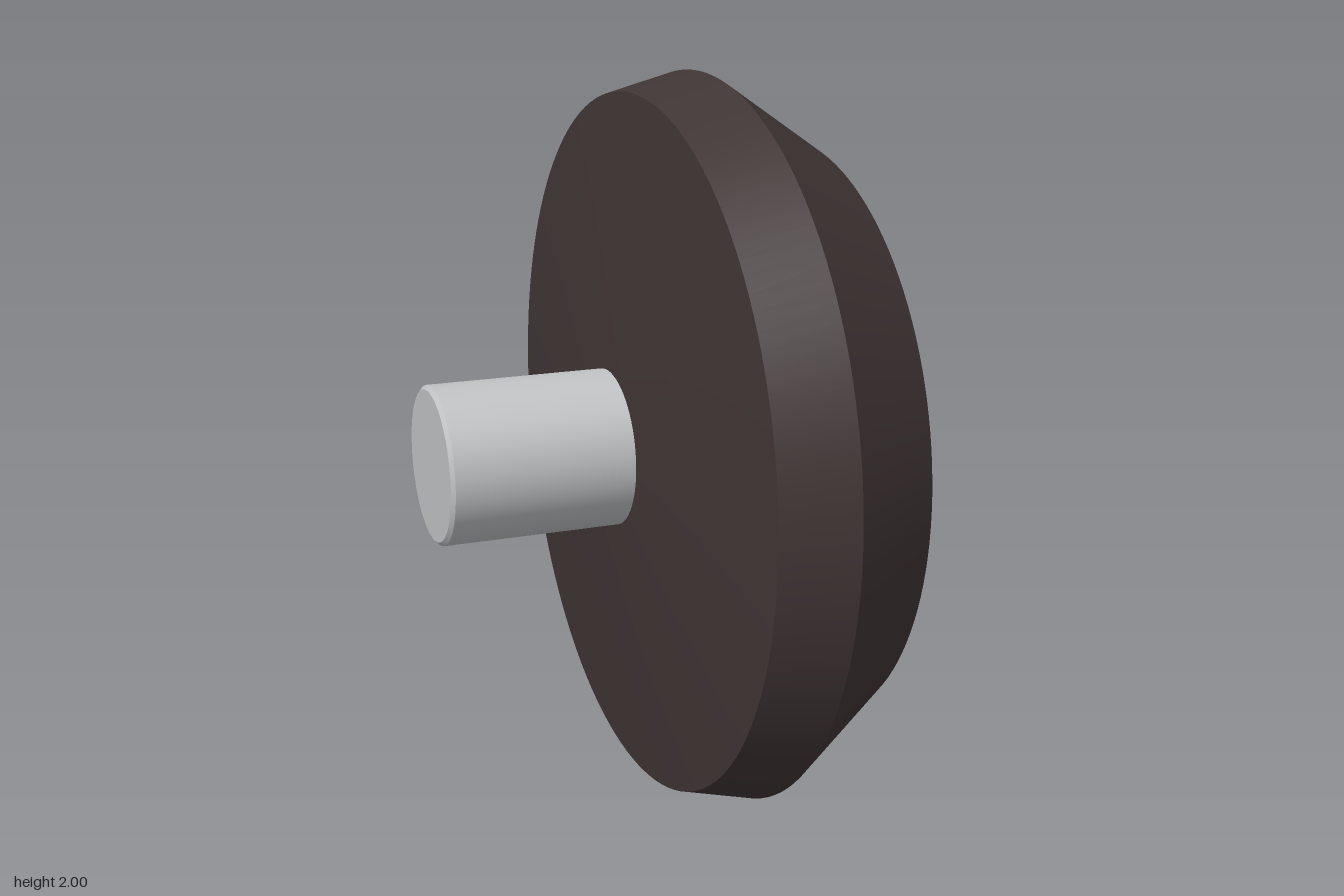
import * as THREE from 'three';
import { toCreasedNormals } from 'three/addons/utils/BufferGeometryUtils.js';

// Revolves a profile of [x, radius] points around the x axis, keeping sharp bends sharp
function turned(name, profile, segments, material) {
  const points = profile.map(([x, r]) => new THREE.Vector2(r, x));
  const lathe = new THREE.LatheGeometry(points, segments);
  lathe.rotateZ(-Math.PI / 2);
  const mesh = new THREE.Mesh(toCreasedNormals(lathe, THREE.MathUtils.degToRad(27)), material);
  mesh.name = name;
  mesh.position.y = 1;
  return mesh;
}

export function createModel() {
  const darkBrown = new THREE.MeshStandardMaterial({ color: 0x403535 });
  darkBrown.name = 'dark brown';
  const lightSteel = new THREE.MeshStandardMaterial({ color: 0xc0c2c4 });
  lightSteel.name = 'light steel';

  const model = new THREE.Group();
  model.name = 'knob';

  // Faceted round head: shallow back cone, rim, bevel and domed face
  model.add(turned('head', [
    [-0.12, 0], [-0.12, 0.2], [-0.05, 0.95], [0.14, 1],
    [0.427, 0.807], [0.595, 0.43], [0.615, 0],
  ], 128, darkBrown));

  // Short shaft with a small chamfer at its free end
  model.add(turned('shaft', [
    [-0.617, 0], [-0.617, 0.203], [-0.607, 0.214], [-0.1, 0.214], [-0.1, 0],
  ], 64, lightSteel));

  return model;
}
